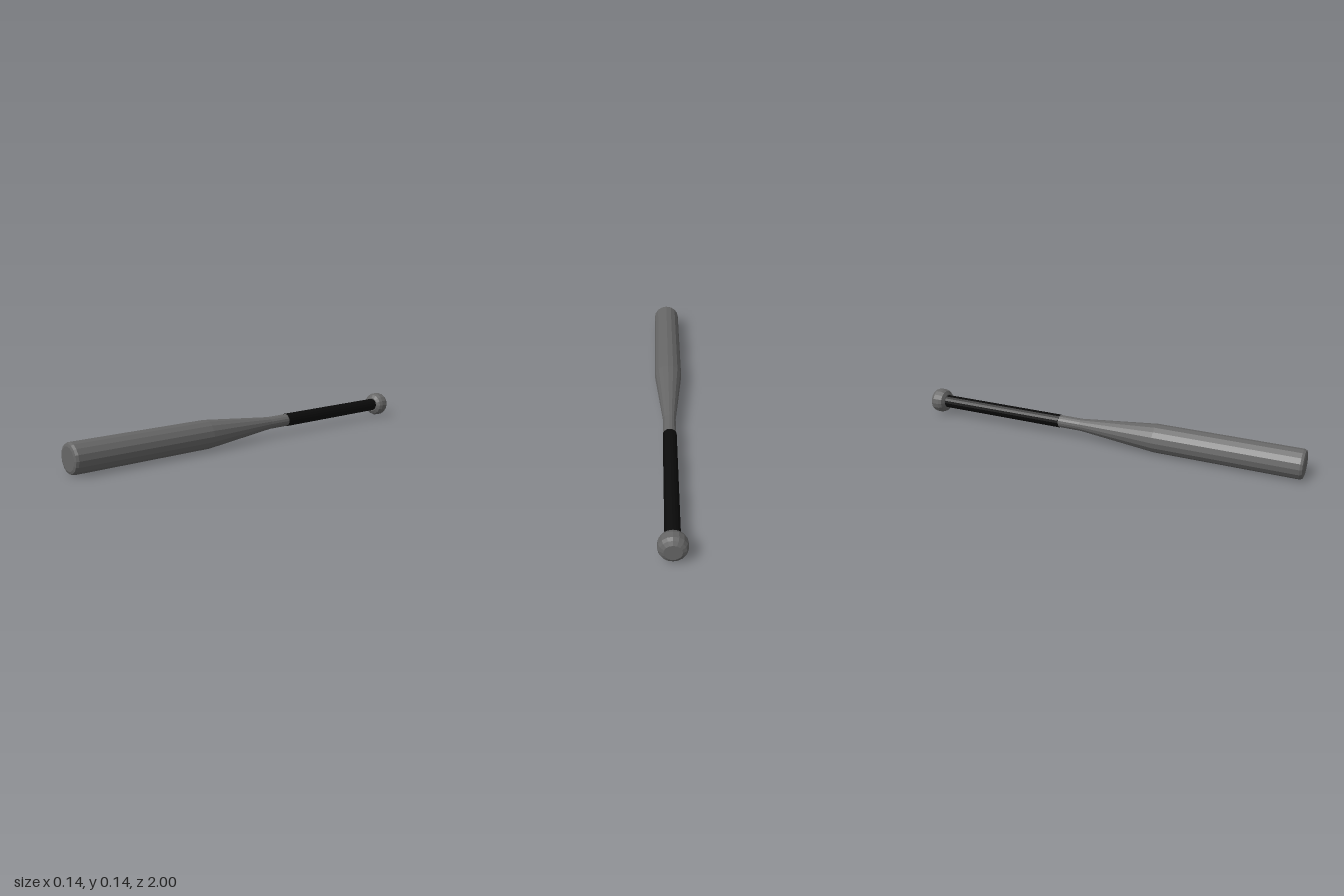
import * as THREE from 'three';

const SIDES = 16;
const AXIS_HEIGHT = 0.07;

export function createModel() {
  const metal = new THREE.MeshStandardMaterial({ color: 0x666666, flatShading: true });
  metal.name = 'grey metal';
  const wrap = new THREE.MeshStandardMaterial({ color: 0x0a0a0a, flatShading: true });
  wrap.name = 'black grip';

  const bat = new THREE.Group();
  bat.name = 'bat';

  // Turns a [radius, z] profile, listed back to front, around the bat's long axis.
  function turned(name, material, profile) {
    const points = profile.map(([r, z]) => new THREE.Vector2(r, z));
    const geometry = new THREE.LatheGeometry(points, SIDES);
    geometry.rotateX(Math.PI / 2);
    const mesh = new THREE.Mesh(geometry, material);
    mesh.name = name;
    mesh.position.y = AXIS_HEIGHT;
    bat.add(mesh);
  }

  // Rounded knob at the back end
  turned('knob', metal, [
    [0, -1], [0.038, -1], [0.055, -0.99], [0.062, -0.975],
    [0.062, -0.945], [0.055, -0.929], [0.038, -0.92], [0, -0.92],
  ]);

  // Wrapped handle
  turned('grip', wrap, [[0, -0.925], [0.033, -0.925], [0.033, -0.23], [0, -0.23]]);

  // Bare neck, taper, barrel and chamfered tip
  turned('barrel', metal, [
    [0.031, -0.24], [0.031, -0.11], [0.07, 0.29],
    [0.07, 0.985], [0.065, 0.996], [0.0535, 1], [0, 1],
  ]);

  return bat;
}
